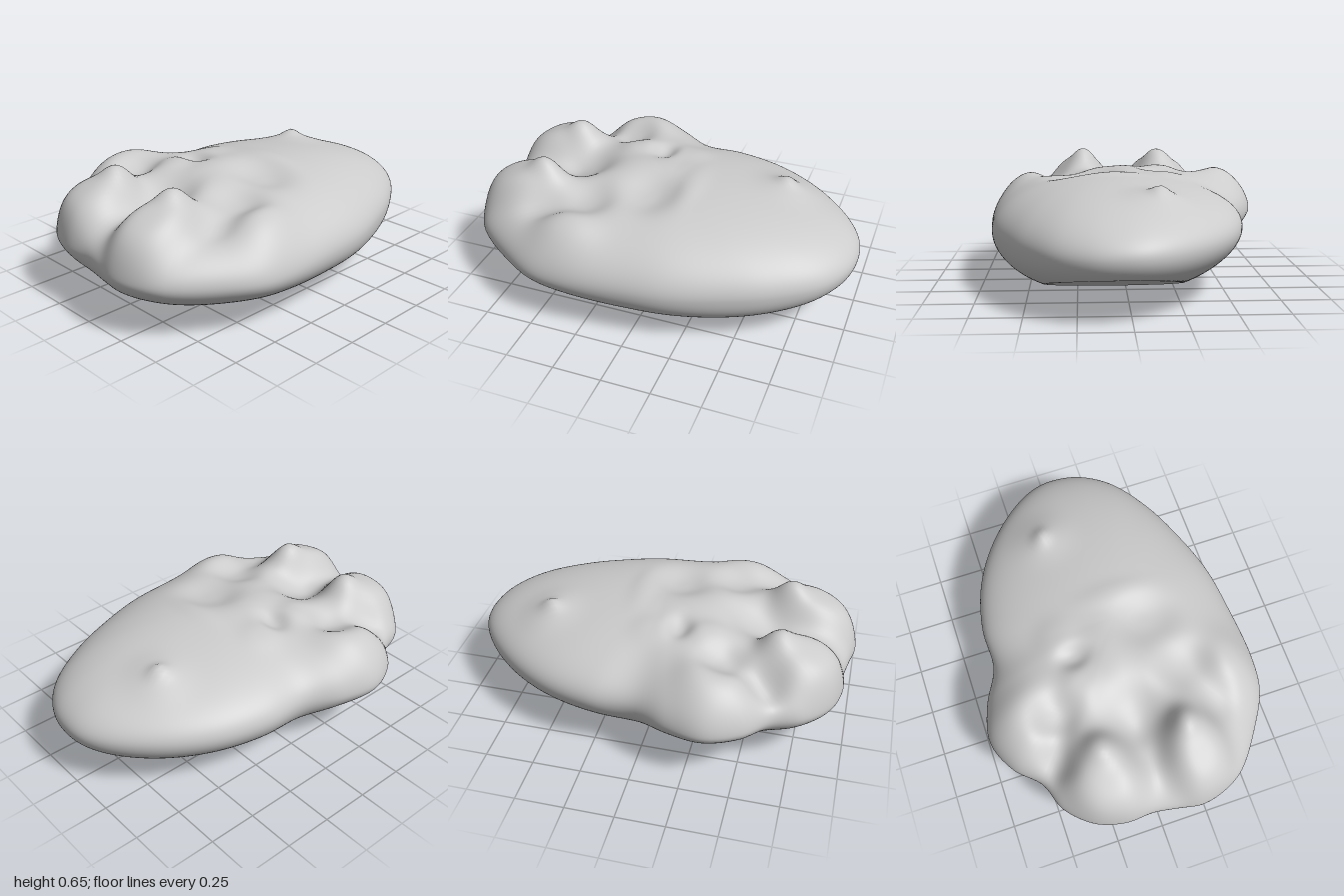
import * as THREE from 'three';

// Rim outline seen from above, as [x, z], running back -> left -> front -> right
const OUTLINE = [
  [0.04, -1], [0.19, -0.975], [0.35, -0.875], [0.5, -0.67], [0.6, -0.45], [0.68, -0.2], [0.71, 0.05],
  [0.725, 0.35], [0.7, 0.53], [0.6, 0.71], [0.45, 0.9], [0.33, 0.97], [0.2, 1], [0.08, 0.98],
  [-0.05, 0.96], [-0.2, 0.965], [-0.35, 0.92], [-0.48, 0.8], [-0.54, 0.65], [-0.66, 0.53],
  [-0.73, 0.36], [-0.69, 0.17], [-0.6, -0.02], [-0.595, -0.25], [-0.53, -0.5], [-0.4, -0.72],
  [-0.22, -0.9], [-0.08, -0.98],
];

// Mounds (positive) and hollows (negative) on the top:
// [x, z, height, radius x, radius z, steepness]
const BUMPS = [
  [-0.25, 0.8, 0.105, 0.19, 0.25, 2], [0.24, 0.8, 0.1, 0.16, 0.25, 2], // broad front mounds
  [-0.22, 0.62, 0.045, 0.08, 0.08], [0.21, 0.63, 0.045, 0.07, 0.08],   // their tips
  [-0.54, 0.37, 0.075, 0.17, 0.2], [0.56, 0.37, 0.045, 0.13, 0.16],    // side mounds
  [0, 0.66, -0.035, 0.11, 0.14], [0, 0.5, -0.075, 0.15, 0.14],         // front valley
  [-0.43, 0.6, -0.05, 0.09, 0.1], [-0.39, 0.38, -0.06, 0.11, 0.11],
  [0.41, 0.55, -0.04, 0.1, 0.12], [0.33, 0.34, -0.055, 0.14, 0.13],
  [0.22, 0.06, -0.05, 0.16, 0.14], [-0.2, 0.13, -0.035, 0.08, 0.06],   // middle hollows
  [0, 0.17, 0.01, 0.11, 0.14], [-0.25, -0.01, 0.015, 0.1, 0.09],       // middle mounds
  [-0.22, 0.28, 0.025, 0.09, 0.1], [0.1, -0.13, 0.01, 0.18, 0.06],
  [-0.15, -0.58, 0.025, 0.14, 0.13], [-0.15, -0.57, 0.035, 0.05, 0.05, 1], // small back peak
];

const relief = (x, z) => BUMPS.reduce((sum, [bx, bz, h, rx, rz, steep = 1.25]) =>
  sum + h * Math.exp(-Math.pow(((x - bx) / rx) ** 2 + ((z - bz) / rz) ** 2, steep)), 0);

function stoneGeometry(rings = 120, around = 160) {
  const cx = 0.07, cz = 0;
  const curve = new THREE.CatmullRomCurve3(OUTLINE.map(([x, z]) => new THREE.Vector3(x, 0, z)), true);
  const rim = Array.from({ length: around }, (_, i) => curve.getPoint(i / around));

  // The belly follows a plain egg, slightly wider at the front
  const bellyRim = rim.map(({ x, z }) => {
    const t = Math.atan2(z, (x - 0.06) / 0.65);
    const wide = 1 + 0.1 * Math.max(0, Math.sin(t));
    return new THREE.Vector3(0.06 + 0.65 * wide * Math.cos(t), 0, Math.sin(t));
  });

  const surfacePoint = (phi, i) => {
    const r = Math.sin(phi), c = Math.cos(phi);
    const edge = rim[i].clone().lerp(bellyRim[i], THREE.MathUtils.smoothstep(-c, 0, 0.8));
    const x = cx + (edge.x - cx) * r, z = cz + (edge.z - cz) * r;
    const mid = 0.31 - 0.035 * edge.x * r ** 4;
    let y;
    if (c >= 0) {
      // domed top with relief fading out at the rim
      y = mid + 0.28 * c + relief(x, z) * (1 - r ** 40);
    } else {
      // rounded belly, cut by a slanted flat at the back
      y = Math.max(mid + 0.31 * c, Math.min(0.015 + 0.275 * (-z - 0.22), mid));
    }
    return [x, Math.max(y, 0), z];
  };

  const positions = [], index = [];
  positions.push(...surfacePoint(0, 0));
  for (let j = 1; j < rings; j++) {
    for (let i = 0; i < around; i++) positions.push(...surfacePoint((j / rings) * Math.PI, i));
  }
  positions.push(...surfacePoint(Math.PI, 0));

  const last = positions.length / 3 - 1;
  const id = (j, i) => 1 + (j - 1) * around + (i % around);
  for (let i = 0; i < around; i++) {
    index.push(0, id(1, i + 1), id(1, i));
    for (let j = 1; j < rings - 1; j++) {
      const a = id(j, i), b = id(j, i + 1), c = id(j + 1, i + 1), d = id(j + 1, i);
      index.push(a, b, c, a, c, d);
    }
    index.push(last, id(rings - 1, i), id(rings - 1, i + 1));
  }

  const geometry = new THREE.BufferGeometry();
  geometry.setAttribute('position', new THREE.Float32BufferAttribute(positions, 3));
  geometry.setIndex(index);
  geometry.computeVertexNormals();
  return geometry;
}

export function createModel() {
  const group = new THREE.Group();
  group.name = 'lumpyStone';
  const stone = new THREE.Mesh(stoneGeometry(), new THREE.MeshStandardMaterial({ color: 0xcccccc }));
  stone.name = 'stoneBody';
  group.add(stone);
  return group;
}
